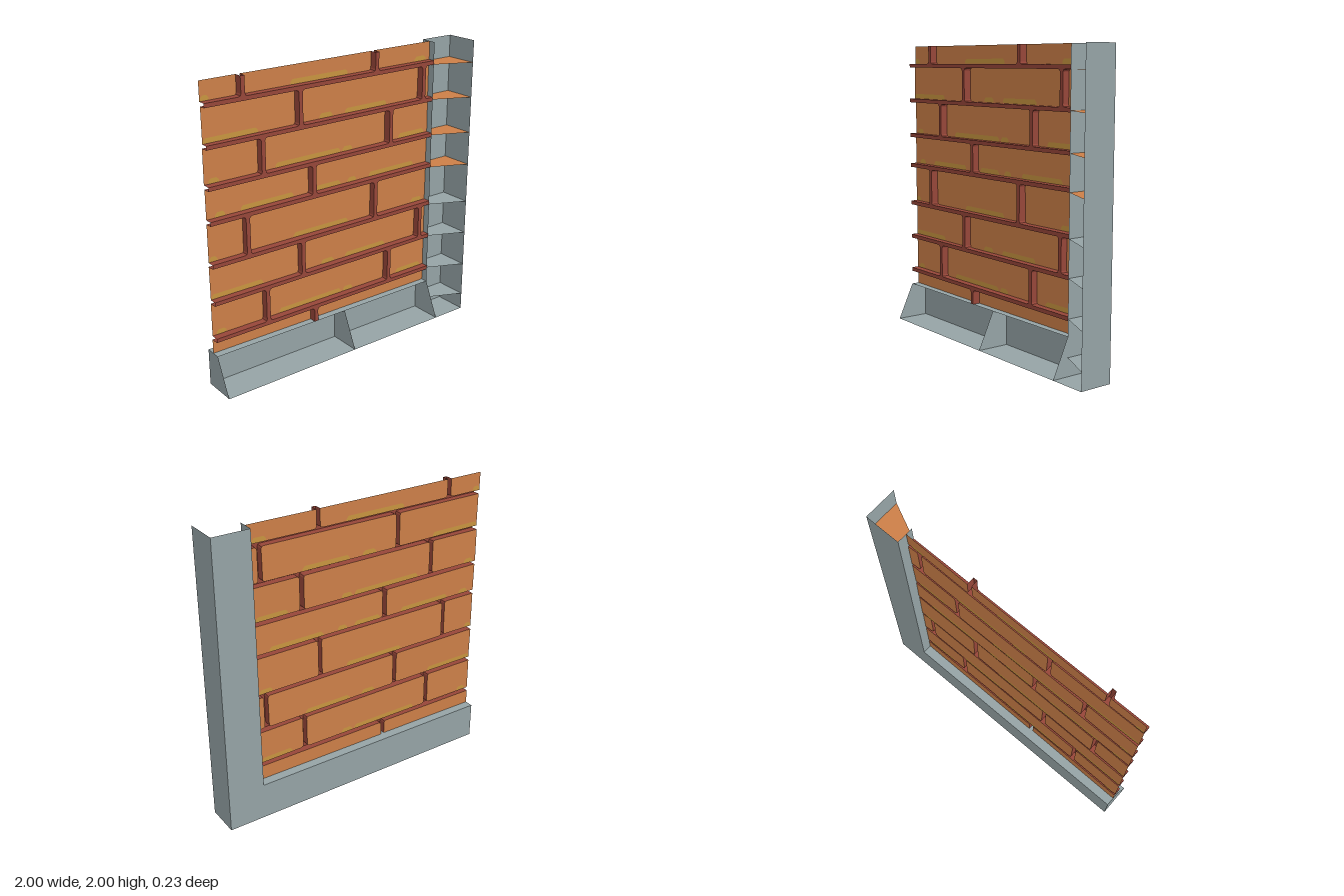
import * as THREE from 'three';
import { mergeGeometries } from 'three/addons/utils/BufferGeometryUtils.js';

const material = (name, color) => {
  const m = new THREE.MeshStandardMaterial({ color, side: THREE.DoubleSide });
  m.name = name;
  return m;
};

// Flat four-cornered face
function quad(a, b, c, d) {
  const g = new THREE.BufferGeometry();
  g.setAttribute('position', new THREE.Float32BufferAttribute([a, b, c, a, c, d].flat(), 3));
  g.computeVertexNormals();
  return g;
}

// Flat outline in x and y, with its depth set by a rule
function face(points, depth = () => 0) {
  const g = new THREE.ShapeGeometry(new THREE.Shape(points.map(p => new THREE.Vector2(...p)))).toNonIndexed();
  g.deleteAttribute('uv');
  const pos = g.attributes.position;
  for (let i = 0; i < pos.count; i++) pos.setZ(i, depth(pos.getX(i), pos.getY(i)));
  g.computeVertexNormals();
  return g;
}

export function createModel() {
  const orange = material('brickOrange', 0xcc7f48);
  const red = material('mortarRed', 0x964639);
  const yellow = material('ochrePatch', 0xc7943f);
  const grey = material('frameGrey', 0x95a3a5);

  const model = new THREE.Group();
  model.name = 'brickWallPanel';
  const add = (name, geometries, mat) => {
    const mesh = new THREE.Mesh(mergeGeometries(geometries), mat);
    mesh.name = name;
    model.add(mesh);
  };

  const L = -1, R = 0.75, B = 0.25, T = 2; // brick field limits
  const D = 0.115;                         // half depth of the frame
  const W = 0.014, r = 0.016;              // half joint width, corner radius

  let seed = 7;
  const jitter = () => {
    seed = (seed * 16807) % 2147483647;
    return seed / 2147483647 - 0.5;
  };

  // Courses: bottom, top, joint positions, patch ranges
  const jointsA = [-0.74, 0.262], jointsB = [-0.333, 0.667], jointsC = [-0.613, 0.388], jointsD = [-0.238];
  const patchA = [[-1, -0.94], [-0.375, 0.06], [0.62, 0.715]];
  const patchB = [[-1, -0.62], [-0.16, -0.06], [0.04, 0.38]];
  const patchC = [[-0.97, -0.9], [-0.5, 0], [0.02, 0.1], [0.49, 0.715]];
  const patchD = [[-0.94, -0.87], [-0.76, -0.37], [-0.2, 0], [0.06, 0.13], [0.24, 0.63]];
  const courses = [
    [B, 0.348, jointsD, []],
    [0.374, 0.6, jointsC, patchC],
    [0.626, 0.85, jointsB, patchB],
    [0.877, 1.128, jointsA, patchA],
    [1.155, 1.348, jointsD, patchD],
    [1.374, 1.6, jointsC, patchC],
    [1.626, 1.85, jointsB, patchB],
    [1.877, T, jointsA, patchA],
  ];

  const bricks = [], patches = [], mortar = [], sides = [];

  // Brick outline, rounded only at corners that meet mortar
  function outline(x0, y0, x1, y1) {
    const corners = [[x0, y0, 1, 1], [x1, y0, -1, 1], [x1, y1, -1, -1], [x0, y1, 1, -1]];
    return corners.flatMap(([x, y, sx, sy], i) => {
      if (x === L || x === R || y === B || y === T) return [[x, y]];
      const arc = [[x, y + sy * r], [x + sx * r * 0.29, y + sy * r * 0.29], [x + sx * r, y]];
      return i % 2 ? arc.reverse() : arc;
    });
  }
  const onRim = (p, q) => [[0, L], [0, R], [1, B], [1, T]].some(([k, v]) => p[k] === v && q[k] === v);

  courses.forEach(([y0, y1, joints, ranges], row) => {
    const edges = [L, ...joints.flatMap(x => [x - W, x + W]), R];
    for (let i = 0; i < edges.length; i += 2) {
      const x0 = edges[i], x1 = edges[i + 1];
      // Each brick face is slightly tilted
      const z0 = -0.049 + jitter() * 0.006;
      const slopeX = jitter() * 0.014 / (x1 - x0), slopeY = jitter() * 0.03;
      const depth = (x, y) => z0 + slopeX * (x - (x0 + x1) / 2) + slopeY * (y - (y0 + y1) / 2);
      const pts = outline(x0, y0, x1, y1);
      bricks.push(face(pts, depth));
      pts.forEach((p, k) => {
        const q = pts[(k + 1) % pts.length];
        if (!onRim(p, q)) sides.push(quad([...p, 0], [...q, 0], [...q, depth(...q)], [...p, depth(...p)]));
      });
      // Worn patches along the lower edge, seen on both faces
      ranges.forEach(([a, b]) => {
        const p0 = Math.max(a, x0 + 0.003), p1 = Math.min(b, x1 - 0.003);
        if (p1 - p0 < 0.02) return;
        const c = 0.016, h = y0 + 0.034, low = y0 + 0.002;
        const shape = [[p0, low], [p1, low], [p1, h - c], [p1 - c, h], [p0 + c, h], [p0, h - c]];
        for (const s of [-0.002, 0.002]) patches.push(face(shape, (x, y) => depth(x, y) + s));
      });
    }
    // Upright joints, flared where they meet the bed joints
    for (const x of joints) {
      const right = [];
      if (y0 !== B) right.push([W + r, y0], [W + r * 0.29, y0 + r * 0.29], [W, y0 + r]);
      else right.push([W, y0]);
      if (y1 !== T) right.push([W, y1 - r], [W + r * 0.29, y1 - r * 0.29], [W + r, y1]);
      else right.push([W, y1]);
      const left = right.map(([dx, y]) => [x - dx, y]).reverse();
      mortar.push(face([...right.map(([dx, y]) => [x + dx, y]), ...left]));
    }
    // Bed joint above this course
    if (row < courses.length - 1) {
      const top = courses[row + 1][0];
      mortar.push(quad([L, y1, 0], [R, y1, 0], [R, top, 0], [L, top, 0]));
    }
  });
  add('brickFaces', bricks, orange);
  add('wornPatches', patches, yellow);
  add('mortarJoints', mortar, red);
  add('brickSides', sides, red);

  // Open L-shaped frame: back web, outer flanges, inner ledges
  add('frameBack', [face([[-1, 0], [1, 0], [1, T], [R, T], [R, B], [-1, B]], () => -D)], grey);
  add('outerFlanges', [
    quad([-1, 0, -D], [1, 0, -D], [1, 0, D], [-1, 0, D]),
    quad([1, 0, D], [1, 0, -D], [1, T, -D], [1, T, D]),
  ], grey);
  add('innerLedges', [
    quad([-1, B, 0], [R, B, 0], [R, B, -D], [-1, B, -D]),
    quad([R, B, -D], [R, B, 0], [R, T, 0], [R, T, -D]),
  ], grey);

  // Stiffening ribs of the side post and the base
  const postRib = y => quad([R, y, 0], [1, y, D], [1, y, -D], [R, y, -D]);
  const baseRib = x => quad([x, 0, -D], [x, 0, D], [x, B, 0], [x, B, -D]);
  add('upperPostRibs', [1.85, 1.61, 1.36, 1.128].map(postRib), orange);
  add('lowerPostRibs', [0.85, 0.61, 0.36, 0.12].map(postRib), grey);
  add('baseRibs', [-1, 0, R].map(baseRib), grey);

  return model;
}
